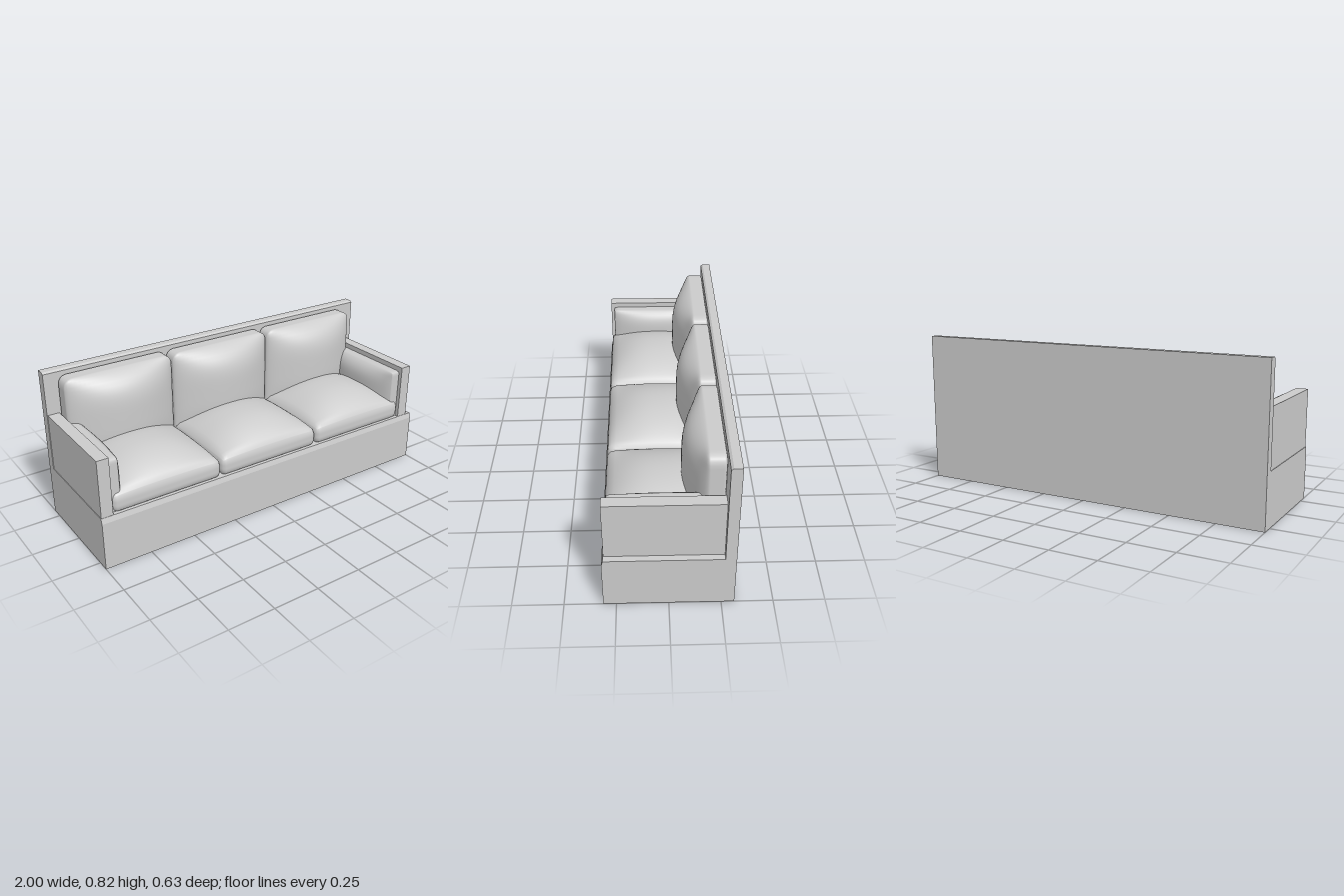
import * as THREE from 'three';
import { mergeVertices } from 'three/addons/utils/BufferGeometryUtils.js';

const material = new THREE.MeshStandardMaterial({ color: 0xcccccc });
const AXES = ['x', 'y', 'z'];

function add(parent, name, geometry) {
  const mesh = new THREE.Mesh(geometry, material);
  mesh.name = name;
  parent.add(mesh);
  return mesh;
}

// Rounded box between min and max whose face on one axis (sign side) swells outward.
// power sets how square the swell is along each axis.
function cushion(min, max, radius, axis, sign, bulge, power) {
  const lo = new THREE.Vector3(...min), hi = new THREE.Vector3(...max);
  const size = hi.clone().sub(lo), mid = lo.clone().add(hi).multiplyScalar(0.5);
  let geo = new THREE.BoxGeometry(size.x, size.y, size.z, 28, 24, 24);
  geo.deleteAttribute('uv');
  geo.deleteAttribute('normal');
  geo = mergeVertices(geo);
  const pos = geo.attributes.position;
  const p = new THREE.Vector3(), core = new THREE.Vector3(), dir = new THREE.Vector3();
  for (let i = 0; i < pos.count; i++) {
    p.fromBufferAttribute(pos, i);
    // round the edges with a separate radius per axis
    AXES.forEach((a, k) => {
      const limit = size[a] / 2 - radius[k];
      core[a] = THREE.MathUtils.clamp(p[a], -limit, limit);
      dir[a] = (p[a] - core[a]) / radius[k];
    });
    if (dir.lengthSq() > 0) dir.normalize();
    AXES.forEach((a, k) => { p[a] = core[a] + dir[a] * radius[k]; });
    // swell the chosen face
    let swell = bulge * THREE.MathUtils.clamp(sign * p[axis] / size[axis] + 0.5, 0, 1);
    AXES.forEach((a, k) => {
      if (a !== axis) swell *= 1 - Math.pow(Math.abs(2 * p[a] / size[a]), power[k]);
    });
    p[axis] += sign * swell;
    pos.setXYZ(i, p.x, p.y, p.z);
  }
  geo.computeVertexNormals();
  return geo.translate(mid.x, mid.y, mid.z);
}

export function createModel() {
  const sofa = new THREE.Group();
  sofa.name = 'sofa';

  // Base and backrest: one side profile (z, y) extruded across the width
  const profile = [
    [-0.313, 0], [0.313, 0], [0.313, 0.255], [0.305, 0.283],
    [-0.26, 0.283], [-0.26, 0.812], [-0.272, 0.82], [-0.313, 0.82],
  ].map(([z, y]) => new THREE.Vector2(z, y));
  const frame = new THREE.ExtrudeGeometry(new THREE.Shape(profile), { depth: 2, bevelEnabled: false });
  frame.rotateY(-Math.PI / 2).translate(1, 0, 0);
  add(sofa, 'baseAndBackrest', frame);

  // Upholstery sits slightly off centre on the frame
  const upholstery = new THREE.Group();
  upholstery.name = 'upholstery';
  upholstery.position.x = -0.015;
  sofa.add(upholstery);

  // Arms with padded inner cushions
  for (const [side, s] of [['left', 1], ['right', -1]]) {
    const arm = new THREE.BoxGeometry(0.062, 0.31, 0.565);
    add(upholstery, side + 'Arm', arm).position.set(s * 0.951, 0.435, 0.021);
    const xs = [s * 0.865, s * 0.925].sort((a, b) => a - b);
    add(upholstery, side + 'ArmCushion', cushion(
      [xs[0], 0.275, -0.255], [xs[1], 0.565, 0.285],
      [0.012, 0.015, 0.015], 'x', -s, 0.048, [2, 4, 2.5]));
  }

  // Three seat cushions and three back cushions
  const pitch = 0.612;
  ['right', 'middle', 'left'].forEach((place, i) => {
    const x = (i - 1) * pitch;
    add(upholstery, place + 'SeatCushion', cushion(
      [x - 0.304, 0.275, -0.25], [x + 0.304, 0.385, 0.302],
      [0.03, 0.045, 0.03], 'y', 1, 0.1, [2.2, 2, 2.5]));
    add(upholstery, place + 'BackCushion', cushion(
      [x - 0.302, 0.3, -0.262], [x + 0.302, 0.795, -0.165],
      [0.045, 0.045, 0.016], 'z', 1, 0.095, [2, 4, 2]));
  });

  return sofa;
}
